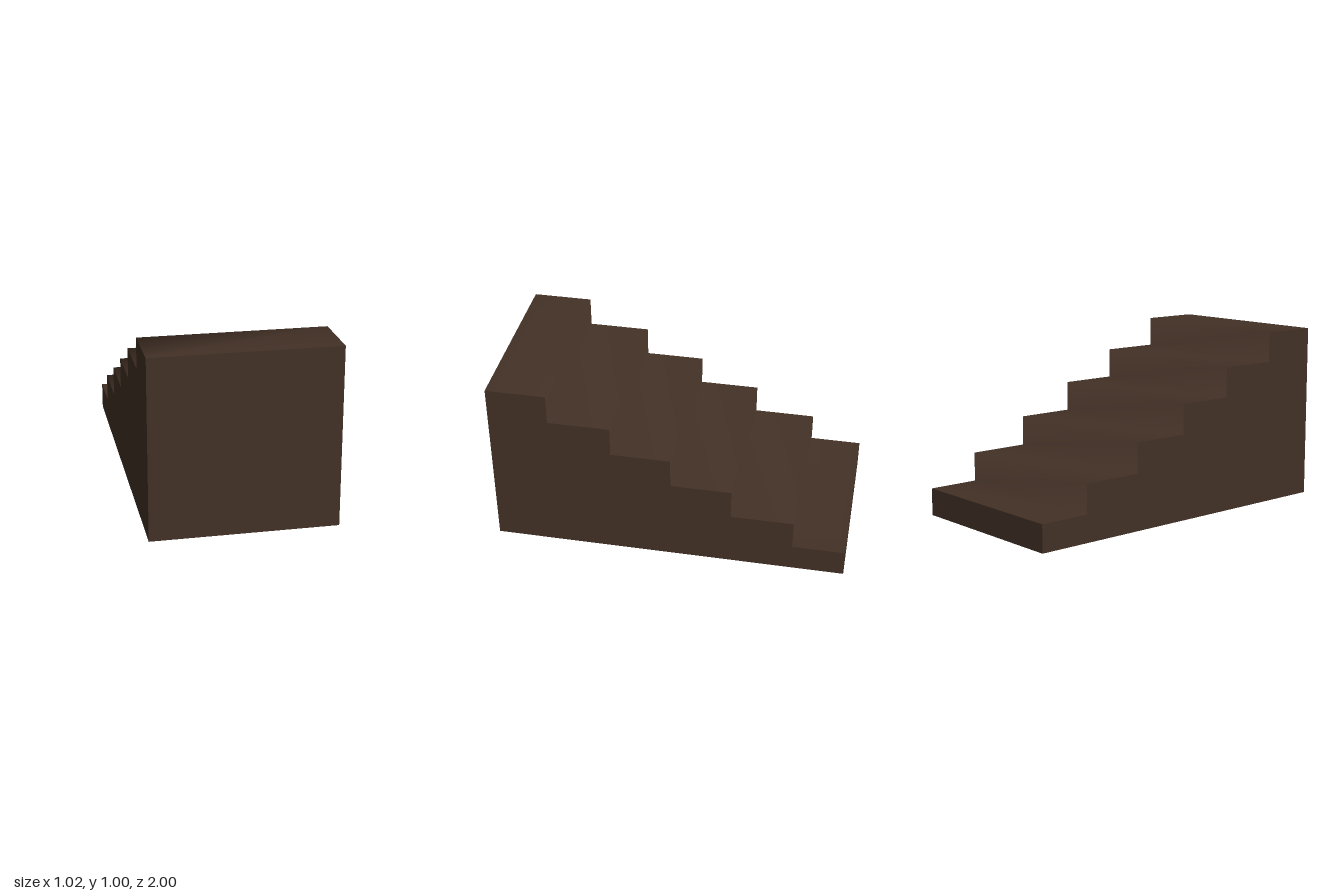
import * as THREE from 'three';

const HALF_WIDTH = 0.51;

// Each step: [z where its tread starts, tread height], lowest first
const STEPS = [
  [-1, 0.155], [-0.705, 0.32], [-0.355, 0.49],
  [-0.015, 0.66], [0.318, 0.83], [0.664, 1],
];

// Surface spanning the width along a path of [z, y] points, smooth within the path
function strip(path) {
  const positions = [];
  const index = [];
  path.forEach(([z, y], i) => {
    positions.push(-HALF_WIDTH, y, z, HALF_WIDTH, y, z);
    if (i > 0) {
      const a = 2 * (i - 1);
      index.push(a, a + 2, a + 1, a + 1, a + 2, a + 3);
    }
  });
  const geometry = new THREE.BufferGeometry();
  geometry.setAttribute('position', new THREE.Float32BufferAttribute(positions, 3));
  geometry.setIndex(index);
  geometry.computeVertexNormals();
  return geometry;
}

export function createModel() {
  const group = new THREE.Group();
  group.name = 'staircase';
  const darkWood = new THREE.MeshStandardMaterial({ color: 0x433126 });
  darkWood.name = 'darkWood';

  const add = (name, geometry) => {
    const mesh = new THREE.Mesh(geometry, darkWood);
    mesh.name = name;
    group.add(mesh);
    return mesh;
  };

  // Stepped profile from the low back edge to the high front edge
  const profile = [];
  STEPS.forEach(([z, y], i) => {
    const end = i + 1 < STEPS.length ? STEPS[i + 1][0] : 1;
    profile.push([z, y], [end, y]);
  });

  // Treads and risers share softened normals
  add('treadsAndRisers', strip(profile));

  // Flat closing faces
  add('frontWall', strip([[1, 1], [1, 0]]));
  add('base', strip([[1, 0], [-1, 0]]));
  add('backWall', strip([[-1, 0], [-1, STEPS[0][1]]]));

  // Stepped side walls
  for (const side of [1, -1]) {
    const outline = [[-1, 0], ...profile, [1, 0]]
      .map(([z, y]) => new THREE.Vector2(-side * z, y));
    const geometry = new THREE.ShapeGeometry(new THREE.Shape(outline));
    geometry.rotateY(side * Math.PI / 2);
    geometry.translate(side * HALF_WIDTH, 0, 0);
    add(side > 0 ? 'leftSide' : 'rightSide', geometry);
  }

  return group;
}
